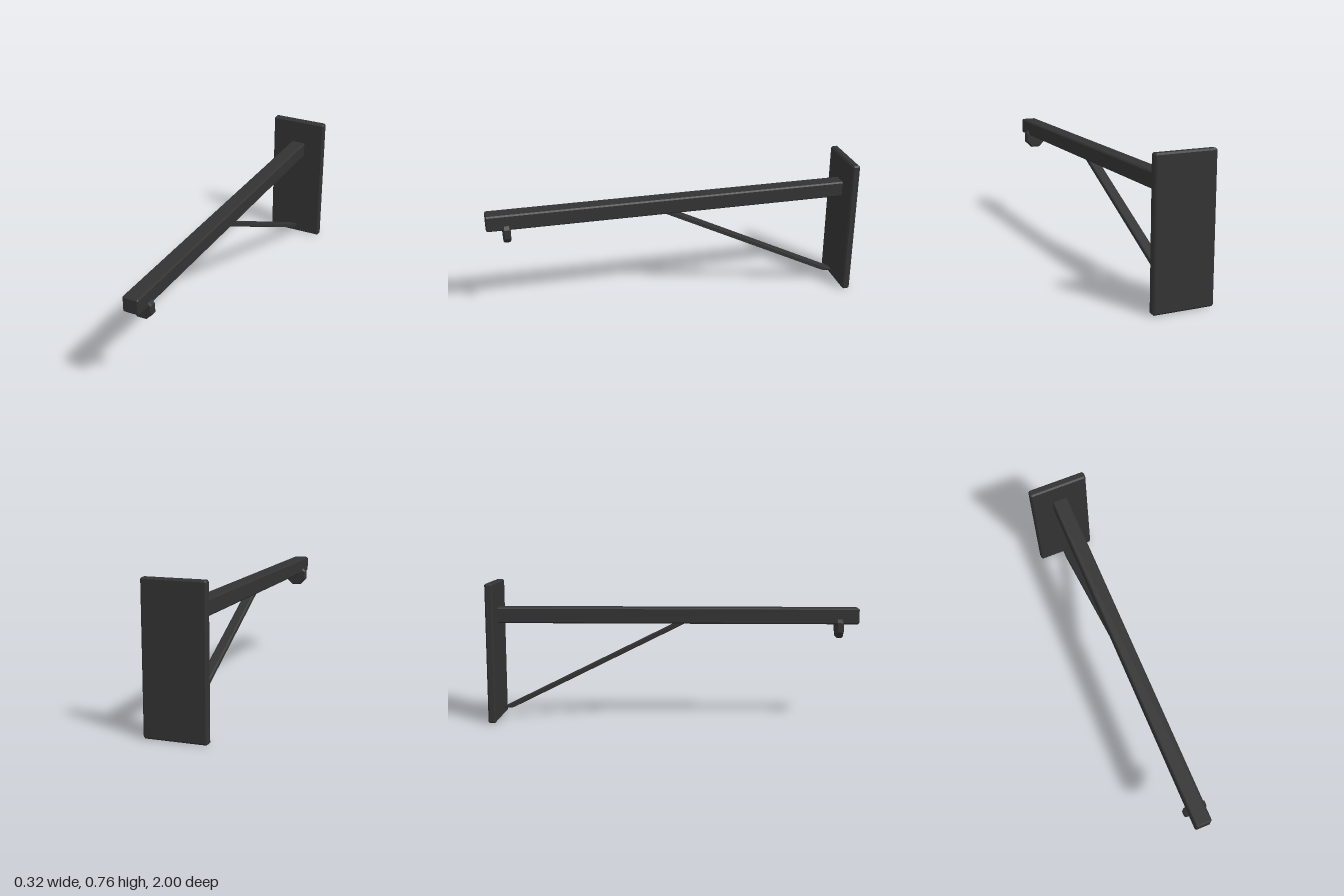
import * as THREE from 'three';
import { ConvexGeometry } from 'three/addons/geometries/ConvexGeometry.js';

// Box with every edge chamfered by b, centred on the origin
function chamferBox(w, h, d, b) {
  const half = [w / 2, h / 2, d / 2];
  const points = [];
  for (let axis = 0; axis < 3; axis++)
    for (const sx of [-1, 1]) for (const sy of [-1, 1]) for (const sz of [-1, 1]) {
      const s = [sx, sy, sz];
      points.push(new THREE.Vector3(...half.map((v, i) => s[i] * (i === axis ? v : v - b))));
    }
  return new ConvexGeometry(points);
}

// Eight-sided disc facing z, flat side down, with chamfered rims
function chamferOctagon(apothem, depth, b) {
  const points = [];
  for (const [a, z] of [[apothem - b, depth / 2], [apothem, depth / 2 - b]])
    for (let i = 0; i < 8; i++) {
      const t = (i + 0.5) * Math.PI / 4;
      const r = a / Math.cos(Math.PI / 8);
      for (const s of [-1, 1]) points.push(new THREE.Vector3(r * Math.cos(t), r * Math.sin(t), s * z));
    }
  return new ConvexGeometry(points);
}

export function createModel() {
  const group = new THREE.Group();
  const darkMetal = new THREE.MeshStandardMaterial({ color: 0x333333 });
  darkMetal.name = 'darkMetal';

  const add = (name, geometry, x, y, z) => {
    const mesh = new THREE.Mesh(geometry, darkMetal);
    mesh.name = name;
    mesh.position.set(x, y, z);
    group.add(mesh);
  };

  // Wall plate and horizontal arm
  add('wallPlate', chamferBox(0.322, 0.756, 0.042, 0.008), 0, 0.378, -0.979);
  add('arm', chamferBox(0.086, 0.086, 1.97, 0.007), 0, 0.574, 0.015);

  // Diagonal brace: an upright bar sheared so its ends stay level
  const brace = chamferBox(0.054, 0.486, 0.056, 0.007);
  const shear = new THREE.Matrix4();
  shear.elements[6] = 2.01; // z += 2.01 * y
  brace.applyMatrix4(shear);
  brace.computeVertexNormals();
  add('brace', brace, 0, 0.299, -0.434);

  // Hanging stop under the free end
  add('endStop', chamferOctagon(0.06, 0.04, 0.007), 0, 0.515, 0.895);

  return group;
}
